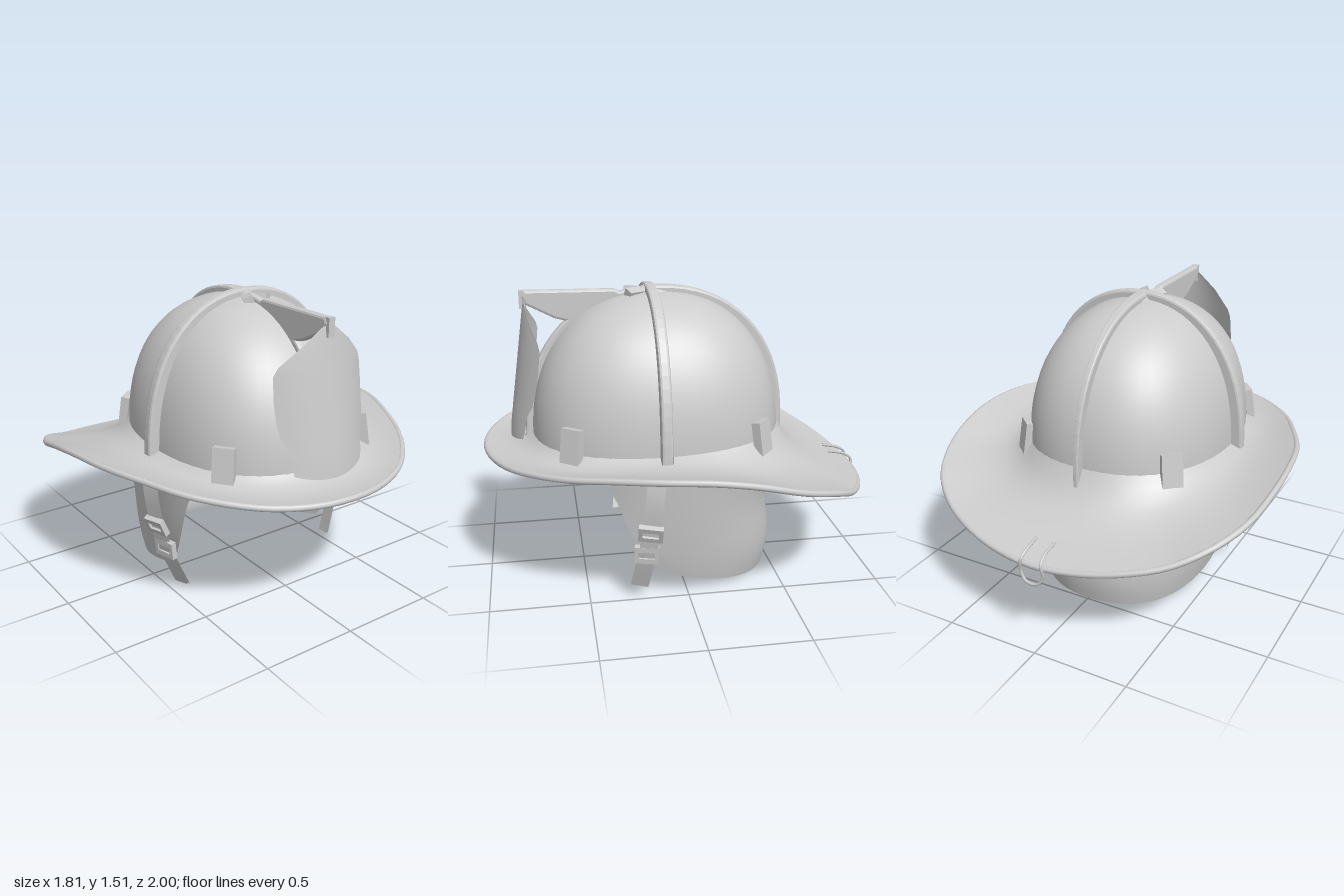
import * as THREE from 'three';

const grey = new THREE.MeshStandardMaterial({ color: 0xcccccc, side: THREE.DoubleSide });
grey.name = 'light grey';

const V = (x, y, z) => new THREE.Vector3(x, y, z);
const { lerp, clamp } = THREE.MathUtils;

function add(parent, name, geometry) {
  const mesh = new THREE.Mesh(geometry, grey);
  mesh.name = name;
  parent.add(mesh);
  return mesh;
}

// Smooth sheet from a rule f(u, v) -> Vector3
function sheet(nu, nv, f) {
  const pos = [], idx = [];
  for (let j = 0; j <= nv; j++)
    for (let i = 0; i <= nu; i++) pos.push(...f(i / nu, j / nv).toArray());
  for (let j = 0; j < nv; j++)
    for (let i = 0; i < nu; i++) {
      const a = j * (nu + 1) + i, b = a + nu + 1;
      idx.push(a, a + 1, b, b, a + 1, b + 1);
    }
  const g = new THREE.BufferGeometry();
  g.setAttribute('position', new THREE.Float32BufferAttribute(pos, 3));
  g.setIndex(idx);
  g.computeVertexNormals();
  return g;
}

// Flat rib cut from an outline and extruded to a width, centred
function rib(points, width) {
  const shape = new THREE.Shape(points.map(p => new THREE.Vector2(p[0], p[1])));
  const b = 0.012;
  const g = new THREE.ExtrudeGeometry(shape, {
    depth: width - 2 * b, bevelEnabled: true, bevelThickness: b, bevelSize: b, bevelOffset: -b, bevelSegments: 2,
  });
  return g.translate(0, 0, -width / 2 + b);
}

// Dome: radius factor at height factor t, and a squarish oval plan at angle a
const domeR = t => Math.pow(Math.max(0, 1 - Math.pow(t, 2.4)), 1 / 2.2);
const DOME = { y: 0.72, h: 0.76, w: 0.53, l: 0.64, z: 0.1 };
const plan = a => Math.pow(Math.abs(Math.sin(a)) ** 2.35 + Math.abs(Math.cos(a)) ** 2.35, -1 / 2.35);

// Arc over the dome in one plane: from base to crown, grown outwards
function arc(radius, grow, rise, y0, n = 18) {
  const pts = [[radius + grow, y0]];
  for (let i = 0; i <= n; i++) {
    const t = Math.sin((i / n) * Math.PI / 2);
    pts.push([(radius + grow) * domeR(t), DOME.y + (DOME.h + rise) * t]);
  }
  return pts;
}

// Neck curtain: u runs round the back from right to left, v from hem to top
function curtainPoint(u, v, inset = 0) {
  const a = (u * 2 - 1) * lerp(1.68, 2.1, v);
  const back = lerp(0.59, 0.62, v) + 0.02 * Math.sin(v * Math.PI * 2.2) - inset;
  const w = lerp(0.475, 0.57, Math.pow(v, 0.8)) - inset;
  const square = n => Math.sign(n) * Math.pow(Math.abs(n), 0.88);
  const z = 0.1 - back * square(Math.cos(a));
  const hem = 0.005 + 0.15 * Math.pow(clamp((z + 0.49) / 0.69, 0, 1), 1.6);
  const top = 0.725 - 0.08 * clamp(-z / 0.5, 0, 1);
  return V(w * square(Math.sin(a)), lerp(hem, top, v), z);
}

export function createModel() {
  const model = new THREE.Group();
  model.name = 'helmet';

  // Dome, its base dipping only towards the back
  add(model, 'dome', sheet(56, 20, (u, v) => {
    const a = u * Math.PI * 2, t = Math.sin(v * Math.PI / 2), r = domeR(t) * plan(a);
    const z = DOME.z + DOME.l * r * Math.cos(a);
    const y = v === 0 ? 0.715 - 0.05 * clamp(-z / 0.5, 0, 1) : DOME.y + DOME.h * t;
    return V(DOME.w * r * Math.sin(a), y, z);
  }));

  // Brim outline, left half from front to back, then mirrored
  const half = [
    [0, 0.71, 0.98], [0.2, 0.71, 0.95], [0.42, 0.72, 0.845], [0.64, 0.745, 0.62], [0.76, 0.77, 0.4],
    [0.85, 0.785, 0.18], [0.885, 0.78, -0.05], [0.885, 0.75, -0.25], [0.85, 0.69, -0.47],
    [0.75, 0.63, -0.67], [0.6, 0.565, -0.8], [0.4, 0.525, -0.9], [0.2, 0.5, -0.955], [0, 0.49, -0.975],
  ];
  const outline = new THREE.CatmullRomCurve3(
    [...half, ...half.slice(1, -1).reverse().map(p => [-p[0], p[1], p[2]])].map(p => V(...p)), true);
  const brim = (drop, fillet) => sheet(72, 10, (u, s) => {
    const o = outline.getPoint(u % 1);
    const a = Math.atan2(o.x / DOME.w, (o.z - DOME.z) / DOME.l);
    const rear = Math.max(0, -Math.cos(a)), r = 0.99 * plan(a);
    const y = lerp(0.735 - 0.055 * rear, o.y, s)
      + fillet * (0.03 + 0.08 * rear) * Math.pow(1 - s, 6) - 0.015 * Math.sin(Math.PI * s);
    return V(lerp(DOME.w * Math.sin(a) * r, o.x, s), y - drop, lerp(DOME.z + DOME.l * Math.cos(a) * r, o.z, s));
  });
  add(model, 'brimTop', brim(-0.014, 1));
  add(model, 'brimUnderside', brim(0.014, 0));
  add(model, 'brimEdge', new THREE.TubeGeometry(outline, 90, 0.016, 8, true));

  // Ribs over the dome: one crosswise, one lengthwise
  const mirror = pts => pts.slice(0, -1).reverse().map(p => [-p[0], p[1]]);
  const band = (r, grow, rise, y0) => { const p = arc(r, grow, rise, y0); return [...p, ...mirror(p)]; };
  const cross = [...band(DOME.w, 0.055, 0.035, 0.74), ...band(DOME.w, -0.02, -0.02, 0.74).reverse()];
  add(model, 'crossRib', rib(cross, 0.055).translate(0, 0, 0.12));

  const rear = [...arc(DOME.l, 0.05, 0.03, 0.67), ...arc(DOME.l, -0.02, -0.02, 0.67).reverse()];
  const rearRib = rib(rear, 0.07).rotateY(Math.PI / 2);
  const rp = rearRib.attributes.position;
  for (let i = 0; i < rp.count; i++) rp.setX(i, rp.getX(i) * lerp(1, 0.35, clamp(-rp.getZ(i) / 0.68, 0, 1)));
  add(model, 'rearRib', rearRib.translate(0, 0, DOME.z));
  const front = [...arc(DOME.l, 0.035, 0.02, 0.74), ...arc(DOME.l, -0.02, -0.02, 0.74).reverse()];
  add(model, 'frontRib', rib(front, 0.045).rotateY(-Math.PI / 2).translate(0, 0, DOME.z));

  // Crown boss where the ribs meet
  add(model, 'crownBoss', new THREE.CylinderGeometry(0.035, 0.075, 0.04, 8).scale(0.8, 1, 1.6).translate(0, 1.485, 0.11));

  // Shield holder reaching forward from the crown
  const arm = [[0.24, 1.46], [0.3, 1.495], [0.75, 1.5], [0.765, 1.47], [0.745, 1.43], [0.6, 1.355], [0.5, 1.33], [0.36, 1.39]];
  add(model, 'shieldHolder', rib(arm, 0.045).rotateY(-Math.PI / 2));
  add(model, 'holderClasp', new THREE.BoxGeometry(0.035, 0.09, 0.03).translate(0, 1.455, 0.76));
  for (const s of [-1, 1])
    add(model, 'crownTab', new THREE.BoxGeometry(0.05, 0.04, 0.09).rotateZ(-s * 0.4).rotateY(s * 0.5).translate(s * 0.035, 1.475, 0.2));

  // Curved front shield: rows of [height, half width]
  const rows = [[0.79, 0.2], [0.83, 0.21], [0.91, 0.215], [0.97, 0.245], [1.03, 0.255], [1.14, 0.26], [1.25, 0.255], [1.29, 0.235], [1.38, 0.135], [1.46, 0.03]];
  add(model, 'frontShield', sheet(14, rows.length - 1, (u, v) => {
    const [y, w] = rows[Math.round(v * (rows.length - 1))];
    const x = (u * 2 - 1) * w;
    const sag = v === 0 ? 0.03 * (1 - (x / w) ** 2) : 0;
    return V(x, y - sag, 0.855 - (y - 0.77) * 0.145 - x * x * 1.5);
  }));

  // Neck curtain with a padded hem inside
  add(model, 'neckCurtain', sheet(40, 10, (u, v) => curtainPoint(u, v)));
  add(model, 'curtainHem', sheet(40, 8, (u, v) => {
    const ends = Math.min(1, Math.sin(Math.PI * u) * 4);
    return curtainPoint(lerp(0.03, 0.97, u), v * 0.42, 0.004 + 0.035 * ends * Math.pow(Math.sin(Math.PI * v), 0.6));
  }));

  // Parts on both sides
  for (const s of [-1, 1]) {
    const side = new THREE.Group();
    side.name = s > 0 ? 'leftFittings' : 'rightFittings';
    model.add(side);

    // Flat brackets leaning on the foot of the dome
    for (const [x, y, z, yaw] of [[0.43, 0.825, 0.56, 0.9], [0.415, 0.81, -0.38, 2.4]]) {
      const g = new THREE.BoxGeometry(0.105, 0.17, 0.045).rotateX(-0.15).rotateY(s * yaw);
      add(side, 'bracket', g).position.set(s * x, y, z);
    }

    // Inner ear tab
    add(side, 'earTab', new THREE.BoxGeometry(0.11, 0.23, 0.015).rotateZ(s * 0.1).rotateY(-s * 0.5))
      .position.set(s * 0.4, 0.57, -0.15);

    // Chin strap: two faces following a curve
    const path = new THREE.CatmullRomCurve3([[0.6, 0.72, 0.17], [0.605, 0.58, 0.185], [0.585, 0.42, 0.2], [0.55, 0.27, 0.22], [0.475, 0.07, 0.25]]
      .map(p => V(s * p[0], p[1], p[2])));
    for (const off of [-0.006, 0.006])
      add(side, 'chinStrap', sheet(1, 16, (u, v) =>
        path.getPoint(v).add(V(off - s * (u - 0.5) * 0.02, (u - 0.5) * 0.012, (u - 0.5) * 0.085))));

    // Strap hanger and buckles, tilted along the strap
    for (const [x, y, z, h, tilt] of [[0.605, 0.69, 0.175, 0.05, 0], [0.59, 0.41, 0.205, 0.09, -0.4], [0.55, 0.28, 0.22, 0.09, -0.1]]) {
      const frame = new THREE.Shape();
      frame.moveTo(-0.06, -h / 2).lineTo(0.06, -h / 2).lineTo(0.06, h / 2).lineTo(-0.06, h / 2);
      const hole = new THREE.Path();
      hole.moveTo(-0.04, -h / 5).lineTo(-0.04, h / 5).lineTo(0.04, h / 5).lineTo(0.04, -h / 5);
      frame.holes.push(hole);
      const g = new THREE.ExtrudeGeometry(frame, { depth: 0.03, bevelEnabled: false });
      g.translate(0, 0, -0.015).rotateY(Math.PI / 2 - s * 0.23).rotateZ(s * tilt);
      add(side, 'buckle', g).position.set(s * x, y, z);
    }
  }

  // Wire hanging loop at the back of the brim
  const loop = [[0.05, 0.565, -0.86], [0.05, 0.545, -0.95], [0.055, 0.515, -0.99], [0.06, 0.45, -0.985], [0.03, 0.405, -0.99]];
  const wire = new THREE.CatmullRomCurve3(
    [...loop, ...loop.slice().reverse().map(p => [-p[0], p[1], p[2]])].map(p => V(...p)));
  add(model, 'hangingLoop', new THREE.TubeGeometry(wire, 40, 0.008, 6));

  return model;
}
